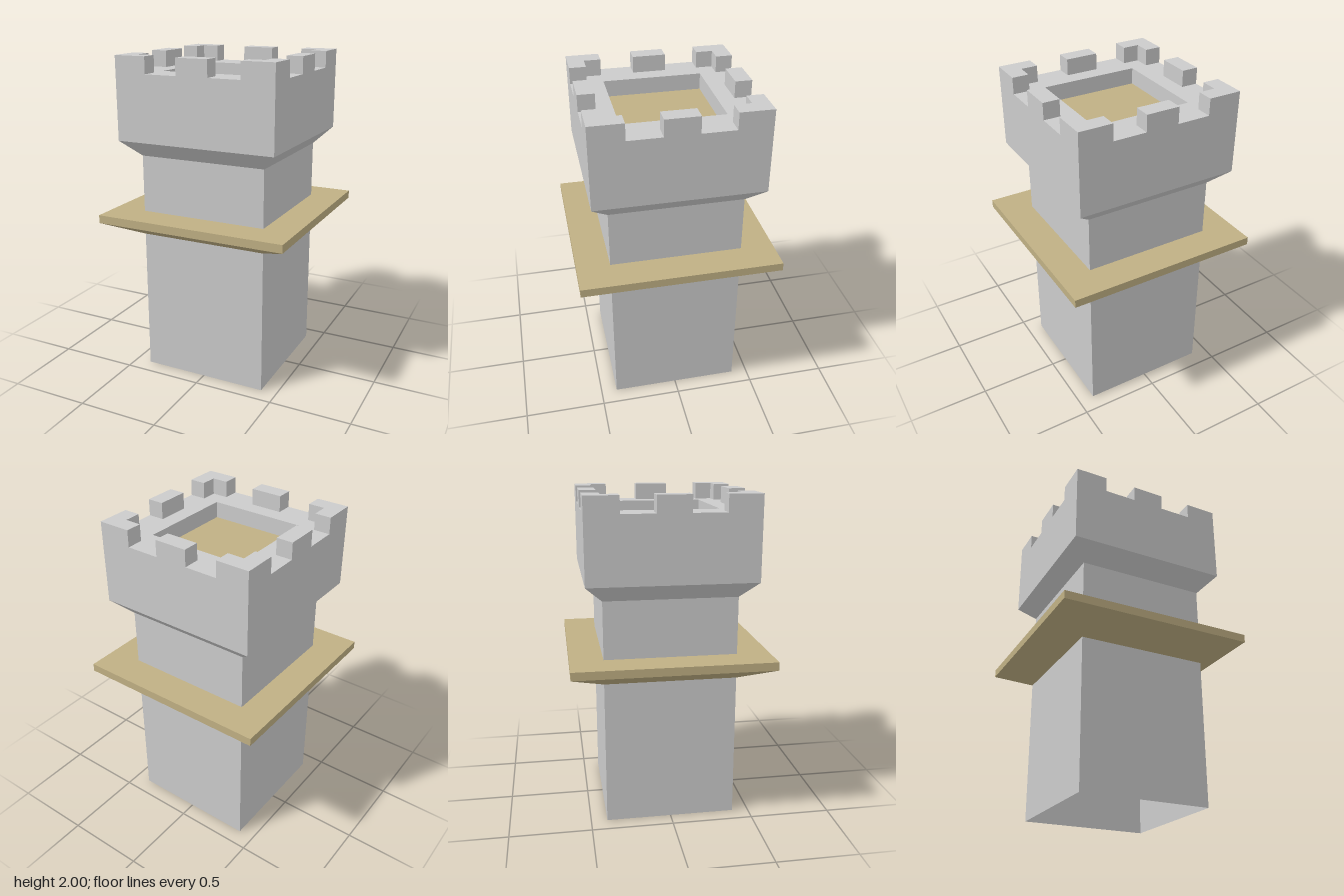
import * as THREE from 'three';

const stone = new THREE.MeshStandardMaterial({ color: 0xcccccc, flatShading: true, side: THREE.DoubleSide });
const wood = new THREE.MeshStandardMaterial({ color: 0xc0b084, flatShading: true, side: THREE.DoubleSide });

// Square shell through [half width, height] steps, listed from bottom to top
function squareShell(name, steps, material) {
  const profile = steps.map(([half, y]) => new THREE.Vector2(half * Math.SQRT2, y));
  const geometry = new THREE.LatheGeometry(profile, 4, Math.PI / 4).toNonIndexed();
  geometry.computeVertexNormals();
  const mesh = new THREE.Mesh(geometry, material);
  mesh.name = name;
  return mesh;
}

export function createModel() {
  const tower = new THREE.Group();
  tower.name = 'watchtower';

  // Hollow shaft, open at the bottom, with a flared ledge around it
  tower.add(
    squareShell('lowerShaft', [[0.4, 0], [0.4, 0.9]], stone),
    squareShell('ledge', [[0.4, 0.9], [0.6, 1], [0.6, 1.05], [0.4, 1.05]], wood),
    squareShell('upperShaft', [[0.4, 1.05], [0.4, 1.4]], stone),
    // Flared head, flat walkway and the inner wall of the well
    squareShell('head', [[0.4, 1.4], [0.5, 1.5], [0.5, 1.9], [0.3, 1.9], [0.3, 1.8]], stone),
  );

  // Sunken floor
  const floor = new THREE.Mesh(new THREE.PlaneGeometry(0.6, 0.6).rotateX(-Math.PI / 2), wood);
  floor.name = 'floor';
  floor.position.y = 1.8;
  tower.add(floor);

  // Battlements: an L-shaped corner and a middle block on each side
  const corner = new THREE.Shape(
    [[0.5, 0.5], [0.3, 0.5], [0.3, 0.4], [0.4, 0.4], [0.4, 0.3], [0.5, 0.3]].map(([x, y]) => new THREE.Vector2(x, y)),
  );
  const cornerGeometry = new THREE.ExtrudeGeometry(corner, { depth: 0.1, bevelEnabled: false });
  cornerGeometry.rotateX(-Math.PI / 2).translate(0, 1.9, 0);
  const middleGeometry = new THREE.BoxGeometry(0.2, 0.1, 0.1).translate(0, 1.95, 0.45);
  const merlonStone = stone.clone();
  merlonStone.side = THREE.FrontSide;
  for (let i = 0; i < 4; i++) {
    for (const [name, geometry] of [['cornerMerlon', cornerGeometry], ['middleMerlon', middleGeometry]]) {
      const merlon = new THREE.Mesh(geometry, merlonStone);
      merlon.name = name + (i + 1);
      merlon.rotation.y = i * Math.PI / 2;
      tower.add(merlon);
    }
  }
  return tower;
}
